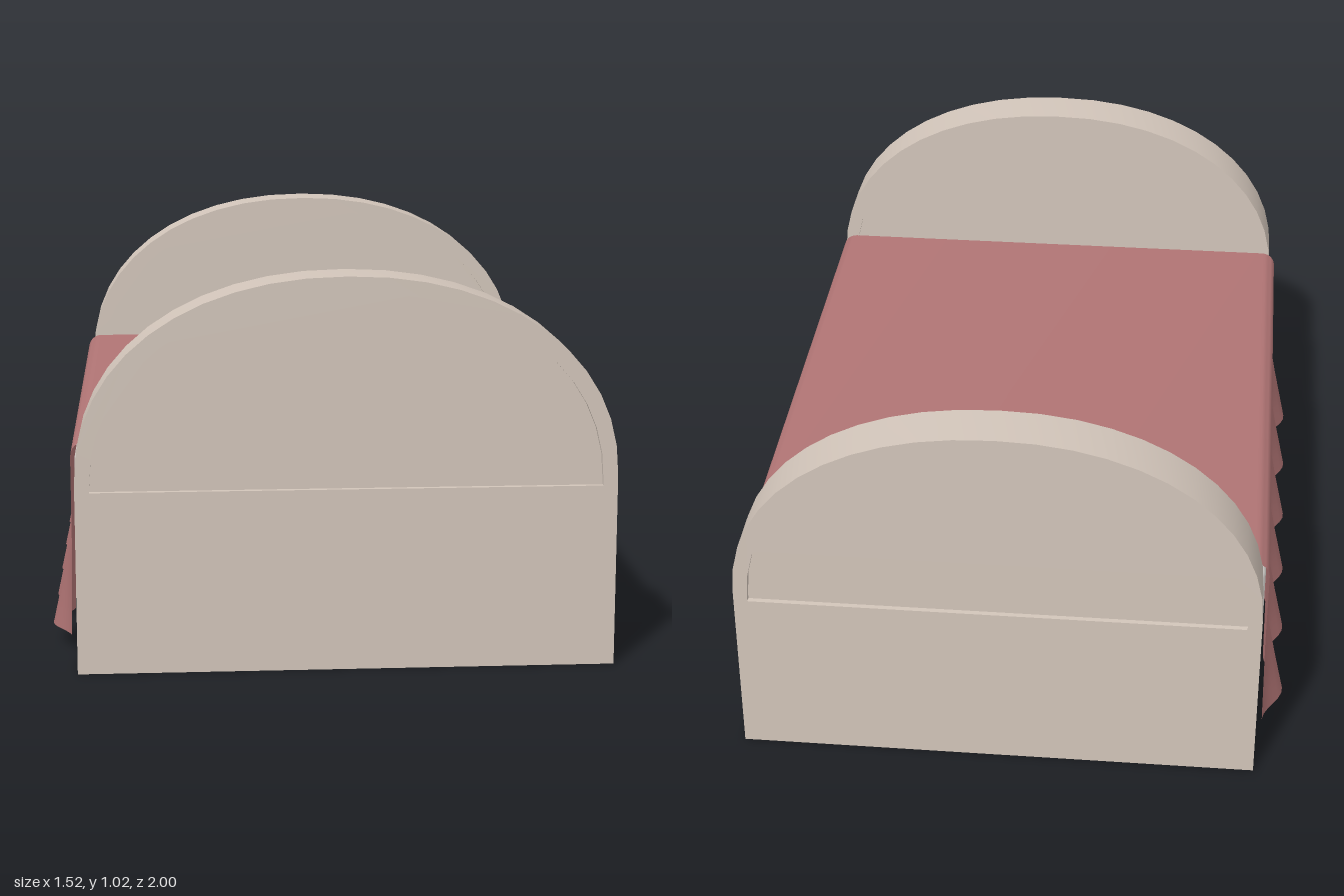
import * as THREE from 'three';
import { toCreasedNormals } from 'three/addons/utils/BufferGeometryUtils.js';
import { RoundedBoxGeometry } from 'three/addons/geometries/RoundedBoxGeometry.js';

const wood = new THREE.MeshStandardMaterial({ name: 'paleWood', color: 0xd2c5ba });
const linen = new THREE.MeshStandardMaterial({ name: 'whiteLinen', color: 0xe8e4df });
const cloth = new THREE.MeshStandardMaterial({ name: 'roseCloth', color: 0xb07474, side: THREE.DoubleSide });

const CX = 0.0075; // the boards sit slightly off centre

function add(parent, name, geometry, material, x = 0, y = 0, z = 0) {
  const mesh = new THREE.Mesh(geometry, material);
  mesh.name = name;
  mesh.position.set(x, y, z);
  parent.add(mesh);
  return mesh;
}

// Arched outline: flat foot, straight sides, full rounded top
function archPoints(halfWidth, bottom, spring, top) {
  const points = [new THREE.Vector2(-halfWidth, bottom), new THREE.Vector2(halfWidth, bottom)];
  const steps = 24, power = 2 / 2.15;
  for (let i = 0; i <= steps; i++) {
    const a = Math.PI * i / steps;
    const c = Math.cos(a), s = Math.max(0, Math.sin(a));
    points.push(new THREE.Vector2(
      halfWidth * Math.sign(c) * Math.abs(c) ** power,
      spring + (top - spring) * s ** power));
  }
  return points;
}

function extrude(shape, depth) {
  const geometry = new THREE.ExtrudeGeometry(shape, { depth, bevelEnabled: false });
  geometry.translate(0, 0, -depth / 2);
  return toCreasedNormals(geometry, 0.6);
}

// End board: a full-depth frame with a thinner panel set into its arch
function makeBoard(name, z) {
  const board = new THREE.Group();
  board.name = name;
  const frame = new THREE.Shape(archPoints(0.6925, 0, 0.5, 1.02));
  frame.holes.push(new THREE.Path(archPoints(0.655, 0.475, 0.485, 0.98)));
  add(board, 'boardFrame', extrude(frame, 0.14), wood);
  const panel = new THREE.Shape(archPoints(0.665, 0.465, 0.485, 0.99));
  add(board, 'boardPanel', extrude(panel, 0.112), wood);
  board.position.set(CX, 0, z);
  return board;
}

// Cloth surface from cross-sections along z; section(z) returns [x, y] points
function loft(section, z0, z1, steps) {
  const positions = [], index = [];
  let n = 0;
  for (let i = 0; i <= steps; i++) {
    const z = z0 + (z1 - z0) * i / steps;
    const row = section(z);
    n = row.length;
    row.forEach(([x, y]) => positions.push(x, y, z));
  }
  for (let i = 0; i < steps; i++) {
    for (let j = 0; j < n - 1; j++) {
      const a = i * n + j, b = a + n;
      index.push(a, b, a + 1, a + 1, b, b + 1);
    }
  }
  const geometry = new THREE.BufferGeometry();
  geometry.setAttribute('position', new THREE.Float32BufferAttribute(positions, 3));
  geometry.setIndex(index);
  return toCreasedNormals(geometry, 0.7);
}

// Flat top with rounded shoulders and straight sides
function coverSection() {
  const half = [[0.7, 0.315]];
  for (let i = 0; i <= 6; i++) {
    const a = Math.PI / 2 * i / 6;
    half.push([0.66 + 0.04 * Math.cos(a), 0.535 + 0.04 * Math.sin(a)]);
  }
  const mirrored = half.map(([x, y]) => [-x, y]);
  return [...mirrored, ...half.reverse()];
}

// Skirt flaring outward in waves that deepen toward the hem
function skirtSection(side) {
  return (z) => {
    const wave = 0.5 * (1 - Math.cos(2 * Math.PI * (z + 0.01) / 0.28));
    const rows = [];
    for (let i = 0; i <= 4; i++) {
      const t = i / 4;
      rows.push([side * (0.7 + t * (0.004 + 0.055 * wave)), 0.315 - 0.265 * t]);
    }
    return side > 0 ? rows : rows.reverse();
  };
}

export function createModel() {
  const bed = new THREE.Group();
  bed.name = 'bed';

  bed.add(makeBoard('footboard', 0.93), makeBoard('headboard', -0.93));

  // Base and mattress between the boards
  add(bed, 'bedBase', new RoundedBoxGeometry(1.37, 0.05, 1.73, 2, 0.015), wood, 0, 0.255, 0);
  add(bed, 'mattress', new RoundedBoxGeometry(1.38, 0.27, 1.716, 3, 0.04), linen, 0, 0.43, 0);

  // Bedspread
  const z0 = -0.845, z1 = 0.838;
  add(bed, 'bedspread', loft(coverSection, z0, z1, 1), cloth);
  add(bed, 'leftSkirt', loft(skirtSection(1), z0, z1, 72), cloth);
  add(bed, 'rightSkirt', loft(skirtSection(-1), z0, z1, 72), cloth);

  return bed;
}
